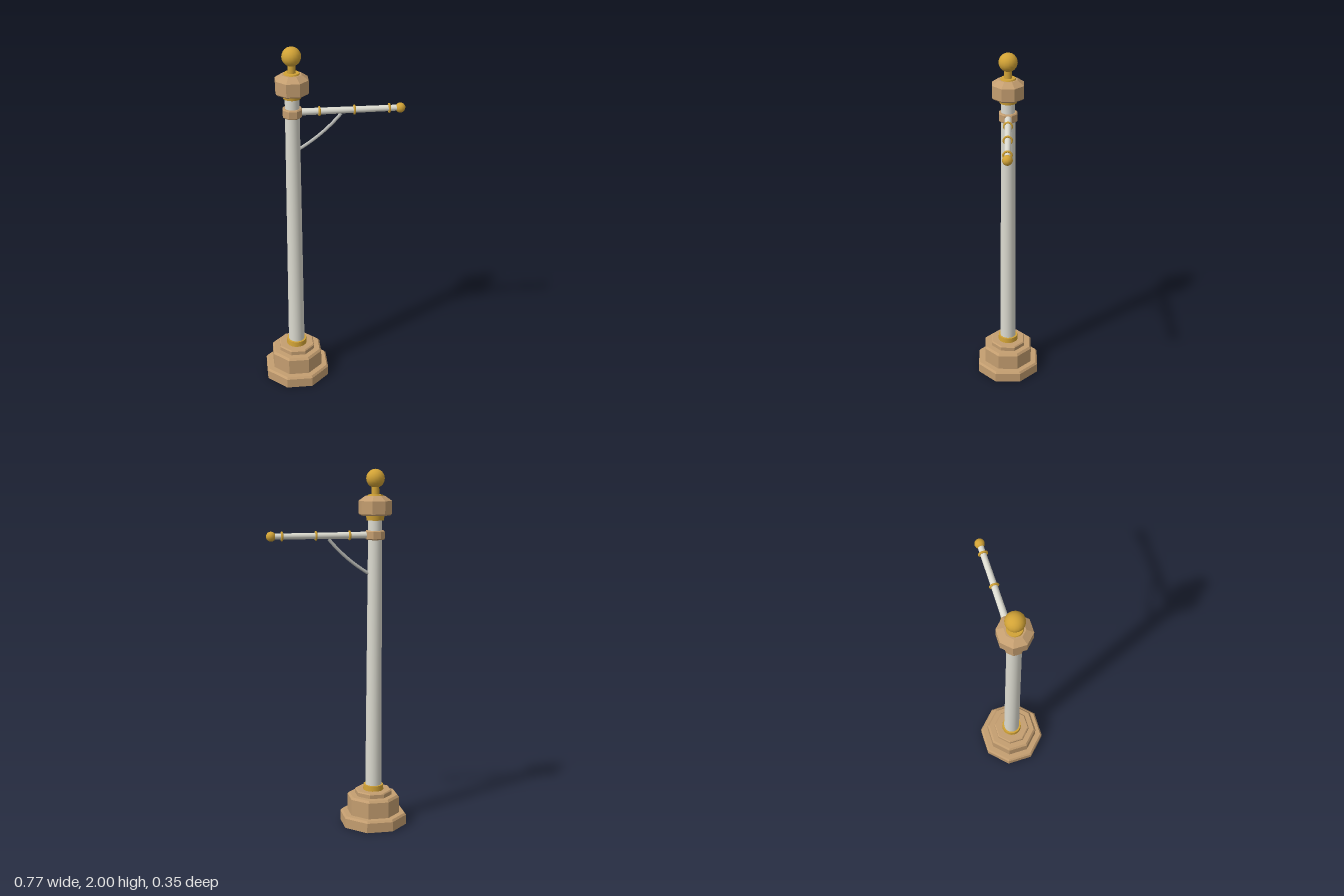
import * as THREE from 'three';

const mat = (name, color, flatShading = false) => {
  const m = new THREE.MeshStandardMaterial({ color, flatShading });
  m.name = name;
  return m;
};

export function createModel() {
  const group = new THREE.Group();
  const stone = mat('tan stone', 0xc49e70, true);
  const brass = mat('brass', 0xd2a336);
  const paint = mat('off-white paint', 0xdcdbd0);
  const steel = mat('grey steel', 0xb9bab6);

  const X = -0.211; // post axis
  const ARM_Y = 1.645;

  const add = (name, geometry, material, x = X, y = 0) => {
    const mesh = new THREE.Mesh(geometry, material);
    mesh.name = name;
    mesh.position.set(x, y, 0);
    group.add(mesh);
    return mesh;
  };

  // Octagonal block from [half width across flats, height] pairs
  const octagon = (name, profile) => {
    const k = 1 / Math.cos(Math.PI / 8);
    const pts = profile.map(([r, y]) => new THREE.Vector2(r * k, y));
    const geo = new THREE.LatheGeometry(pts, 8, Math.PI / 8).toNonIndexed();
    geo.computeVertexNormals();
    return add(name, geo, stone);
  };

  // Round upright part between two heights
  const round = (name, r0, r1, y0, y1, material) =>
    add(name, new THREE.CylinderGeometry(r1, r0, y1 - y0, 20), material, X, (y0 + y1) / 2);

  // Stepped base
  octagon('baseSlab', [[0, 0], [0.177, 0], [0.177, 0.055], [0.168, 0.066], [0, 0.066]]);
  octagon('basePlinth', [[0, 0.066], [0.138, 0.066], [0.138, 0.158], [0.128, 0.17], [0, 0.17]]);
  octagon('baseStep', [[0, 0.17], [0.098, 0.17], [0.098, 0.192], [0.092, 0.198], [0, 0.198]]);
  round('baseCollar', 0.058, 0.056, 0.198, 0.228, brass);

  // Tapered post
  round('post', 0.046, 0.038, 0.198, 1.76, paint);

  // Cap and finial
  round('capCollar', 0.047, 0.051, 1.725, 1.753, brass);
  octagon('cap', [[0, 1.752], [0.078, 1.752], [0.085, 1.76], [0.085, 1.83], [0.05, 1.856], [0, 1.856]]);
  round('finialFoot', 0.045, 0.04, 1.85, 1.863, brass);
  round('finialStem', 0.022, 0.02, 1.86, 1.915, brass);
  add('finialBall', new THREE.SphereGeometry(0.051, 16, 12), brass, X, 1.949);

  // Arm with its clamp, rings and end ball
  octagon('armClamp', [[0, 1.62], [0.045, 1.62], [0.05, 1.626], [0.05, 1.664], [0.045, 1.67], [0, 1.67]]);
  const arm = add('arm', new THREE.CylinderGeometry(0.016, 0.019, 0.55, 16), paint, X + 0.275, ARM_Y);
  arm.rotation.z = -Math.PI / 2;
  for (const x of [-0.069, 0.116, 0.301]) {
    const ring = add('armRing', new THREE.TorusGeometry(0.021, 0.006, 8, 20), brass, x, ARM_Y);
    ring.rotation.y = Math.PI / 2;
  }
  add('armEndBall', new THREE.SphereGeometry(0.027, 12, 9), brass, 0.36, ARM_Y);

  // Curved brace under the arm
  const curve = new THREE.QuadraticBezierCurve3(
    new THREE.Vector3(-0.178, 1.434, 0),
    new THREE.Vector3(-0.045, 1.515, 0),
    new THREE.Vector3(0.047, 1.628, 0)
  );
  add('brace', new THREE.TubeGeometry(curve, 12, 0.009, 8), steel, 0, 0);

  return group;
}
